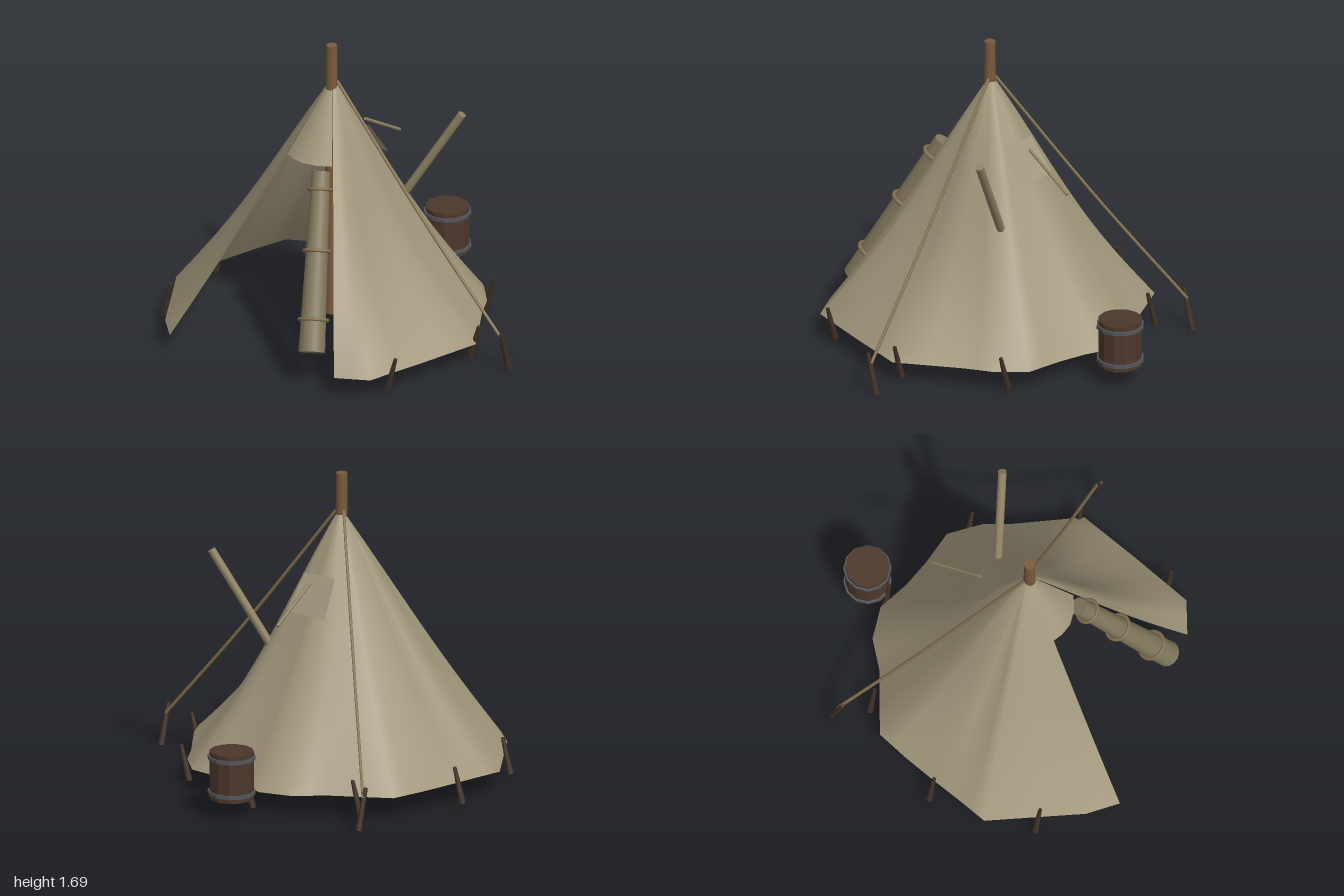
import * as THREE from 'three';

const mat = (color) => new THREE.MeshStandardMaterial({ color });
const canvas = mat(0xa2977c);
canvas.side = THREE.DoubleSide;
const wood = mat(0x7a5a3c), poleWood = mat(0x8f8163), darkWood = mat(0x3f3026);
const barrelWood = mat(0x4c382b), iron = mat(0x55565a), rope = mat(0x857150), rollCloth = mat(0x80765c);

const APEX = new THREE.Vector3(-0.08, 1.45, 0.14);
const V = (p) => new THREE.Vector3(...p);

function add(group, name, geometry, material) {
  const mesh = new THREE.Mesh(geometry, material);
  mesh.name = name;
  group.add(mesh);
  return mesh;
}

// Cylinder running between two points
function rod(group, name, from, to, r0, r1, material, sides = 12) {
  const a = V(from), b = V(to), d = b.clone().sub(a);
  const mesh = add(group, name, new THREE.CylinderGeometry(r1, r0, d.length(), sides), material);
  mesh.position.copy(a).lerp(b, 0.5);
  mesh.quaternion.setFromUnitVectors(new THREE.Vector3(0, 1, 0), d.normalize());
  return mesh;
}

// Cloth stretched from the apex down to a hem of [x, z, sag] points
function clothSheet(hem, hemY, rows) {
  const columns = [];
  hem.forEach((p, i) => {
    columns.push(p);
    if (i < hem.length - 1) columns.push(p.map((v, k) => (v + hem[i + 1][k]) / 2));
  });
  const pos = [], index = [];
  for (const [x, z, sag] of columns) {
    const dx = x - APEX.x, dz = z - APEX.z, len = Math.hypot(dx, dz);
    for (let j = 0; j <= rows; j++) {
      const t = j / rows;
      const f = t - sag * Math.sin(Math.PI * Math.pow(t, 1.5)) + 0.025 * (1 - t) / len;
      pos.push(APEX.x + dx * f, APEX.y + (hemY - APEX.y) * t, APEX.z + dz * f);
    }
  }
  for (let i = 0; i < columns.length - 1; i++) {
    for (let j = 0; j < rows; j++) {
      const a = i * (rows + 1) + j, b = a + rows + 1;
      index.push(a, b, a + 1, b, b + 1, a + 1);
    }
  }
  const g = new THREE.BufferGeometry();
  g.setAttribute('position', new THREE.Float32BufferAttribute(pos, 3));
  g.setIndex(index);
  g.computeVertexNormals();
  return g;
}

export function createModel() {
  const model = new THREE.Group();
  model.name = 'tent';

  // Main cover, from the left door edge round the back to the other edge
  const hem = [
    [0.48, 0.81, 0.03], [0.65, 0.71, 0.07], [0.73, 0.35, 0.12], [0.8, 0, 0.13],
    [0.58, -0.32, 0.08], [0.5, -0.46, 0.06], [0.36, -0.6, 0.05], [0.16, -0.62, 0.04],
    [0, -0.65, 0.04], [-0.18, -0.71, 0.05], [-0.36, -0.66, 0.05], [-0.5, -0.54, 0.03],
    [-0.82, -0.36, 0.06], [-0.87, -0.17, 0.04], [-0.91, 0.02, 0.03], [-0.94, 0.18, 0.06],
    [-0.98, 0.37, 0.04], [-0.68, 0.83, 0.05], [-0.54, 0.96, 0.02],
  ];
  add(model, 'tentCover', clothSheet(hem, 0.11, 24), canvas);

  // Short panel above the doorway
  const lintel = [[-0.21, 0.365, 0], [-0.15, 0.39, 0], [-0.08, 0.4, 0], [0, 0.38, 0], [0.075, 0.335, 0]];
  add(model, 'doorLintel', clothSheet(lintel, 1.07, 8), canvas);

  // Centre pole
  rod(model, 'centrePole', [-0.08, 0.095, 0.15], [-0.08, 1.68, 0.15], 0.041, 0.03, wood, 14);

  // Rolled door cloth with its ties
  const top = [0.04, 1.05, 0.385], bottom = [0.305, 0.2, 0.785];
  const roll = new THREE.Group();
  roll.name = 'doorRoll';
  model.add(roll);
  rod(roll, 'rolledCloth', bottom, top, 0.072, 0.05, rollCloth, 14);
  const axis = V(bottom).sub(V(top)).normalize();
  for (const [t, r] of [[0.1, 0.062], [0.44, 0.07], [0.82, 0.076]]) {
    const tie = add(roll, 'rollTie', new THREE.TorusGeometry(r, 0.011, 6, 20), rope);
    tie.position.copy(V(top)).lerp(V(bottom), t);
    tie.quaternion.setFromUnitVectors(new THREE.Vector3(0, 0, 1), axis);
  }

  // Slanted pole passing through the back of the cover
  rod(model, 'slantedPole', [-0.05, 0.39, -0.08], [0.45, 1.26, -0.31], 0.023, 0.023, poleWood);

  // Smoke flap and the stick that props it
  const flap = new THREE.BufferGeometry();
  flap.setAttribute('position', new THREE.Float32BufferAttribute(
    [-0.19, 1.15, -0.055, 0.01, 1.15, -0.06, 0.04, 0.96, -0.185, -0.22, 0.96, -0.185], 3));
  flap.setIndex([0, 1, 2, 0, 2, 3]);
  flap.computeVertexNormals();
  add(model, 'smokeFlap', flap, canvas);
  rod(model, 'flapStick', [-0.09, 1.13, -0.145], [-0.09, 0.96, -0.435], 0.009, 0.009, poleWood, 8);

  // Hem pegs, all leaning the same way
  const pegs = [[-0.96, 0.035], [-0.84, 0.62], [-0.67, -0.49], [-0.11, -0.71],
    [0.465, -0.52], [0.69, 0.58], [0.775, -0.02]];
  for (const [x, z] of pegs) {
    rod(model, 'hemPeg', [x - 0.025, 0.015, z], [x + 0.03, 0.21, z], 0.019, 0.01, darkWood, 8);
  }

  // Guy ropes with their pegs
  for (const [x, z] of [[0.98, -0.03], [-0.81, -0.63]]) {
    rod(model, 'guyPeg', [x, 0, z - 0.03], [x, 0.225, z + 0.035], 0.019, 0.011, darkWood, 8);
    const a = new THREE.Vector3(-0.08 + Math.sign(x) * 0.025, 1.47, 0.135);
    const b = new THREE.Vector3(x, 0.17, z + 0.01);
    const mid = a.clone().lerp(b, 0.55);
    mid.y -= 0.025;
    const path = new THREE.CatmullRomCurve3([a, mid, b]);
    add(model, 'guyRope', new THREE.TubeGeometry(path, 16, 0.009, 6), rope);
  }

  // Barrel with two hoops
  const barrel = new THREE.Group();
  barrel.name = 'barrel';
  barrel.position.set(-0.09, 0, -0.84);
  model.add(barrel);
  const bodyGeometry = new THREE.CylinderGeometry(0.12, 0.12, 0.265, 12).toNonIndexed();
  bodyGeometry.computeVertexNormals();
  add(barrel, 'barrelBody', bodyGeometry, barrelWood).position.y = 0.228;
  for (const y of [0.13, 0.325]) {
    const profile = [[0.12, -0.01], [0.13, -0.01], [0.13, 0.01], [0.12, 0.01], [0.12, -0.01]];
    const hoop = new THREE.LatheGeometry(profile.map((p) => new THREE.Vector2(...p)), 12).toNonIndexed();
    hoop.computeVertexNormals();
    add(barrel, 'barrelHoop', hoop, iron).position.y = y;
  }

  return model;
}
